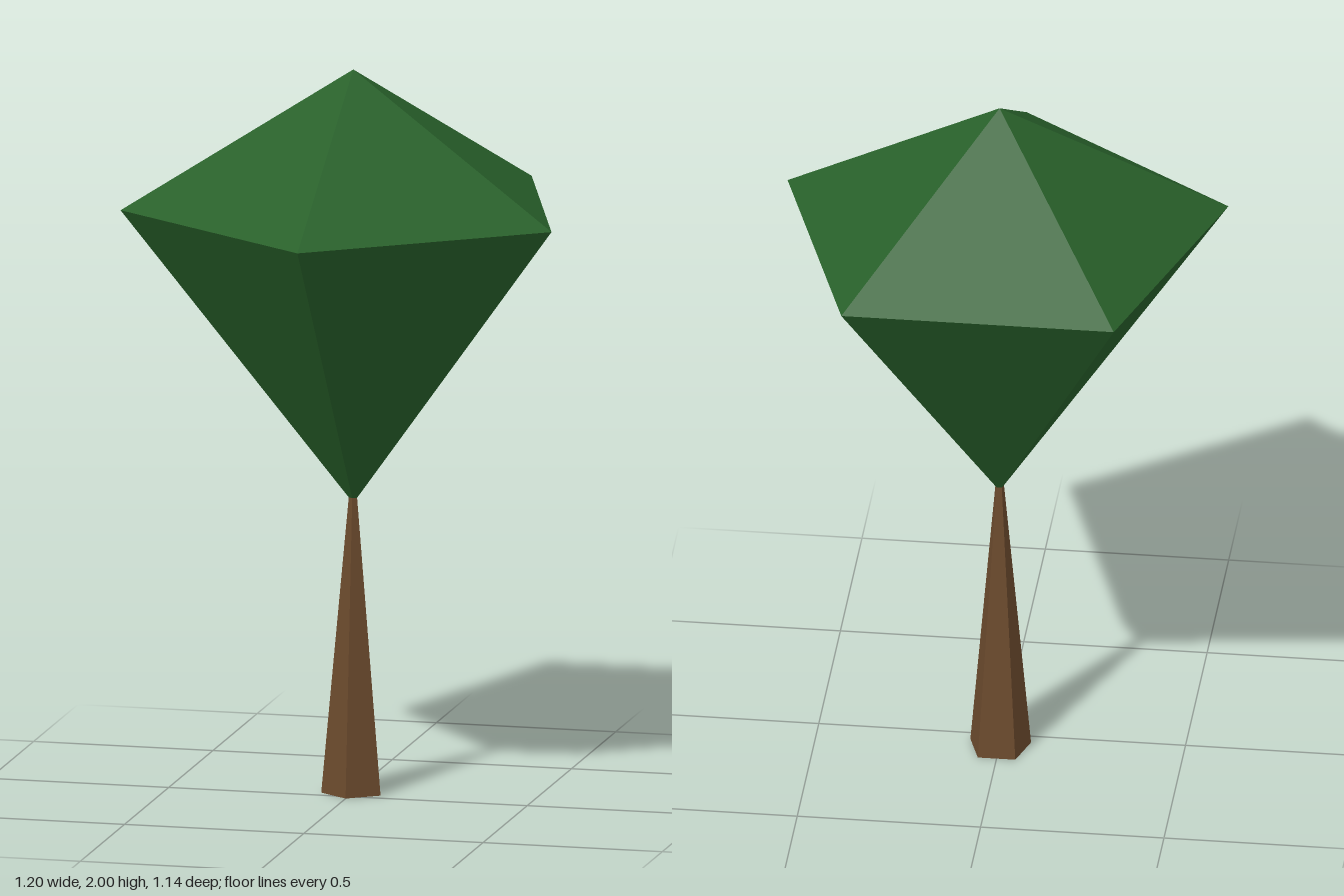
import * as THREE from 'three';

const SIDES = 5;
const CENTER_Z = -0.06; // puts the five-sided outline's bounds around z = 0

export function createModel() {
  const leafGreen = new THREE.MeshStandardMaterial({ color: 0x28602a, flatShading: true });
  leafGreen.name = 'leafGreen';
  const barkBrown = new THREE.MeshStandardMaterial({ color: 0x6b4a2d, flatShading: true });
  barkBrown.name = 'barkBrown';

  const tree = new THREE.Group();
  tree.name = 'tree';

  // Tapered trunk, one corner facing the front
  const trunkHeight = 0.83;
  const trunk = new THREE.Mesh(
    new THREE.CylinderGeometry(0.011, 0.087, trunkHeight, SIDES), barkBrown);
  trunk.name = 'trunk';
  trunk.position.set(0, trunkHeight / 2, CENTER_Z);
  tree.add(trunk);

  // Faceted crown: long lower point, wide rim, shallow top
  const profile = [[0, 0.8], [0.632, 1.62], [0, 2]].map(([r, y]) => new THREE.Vector2(r, y));
  const crown = new THREE.Mesh(new THREE.LatheGeometry(profile, SIDES), leafGreen);
  crown.name = 'crown';
  crown.position.z = CENTER_Z;
  tree.add(crown);

  return tree;
}
